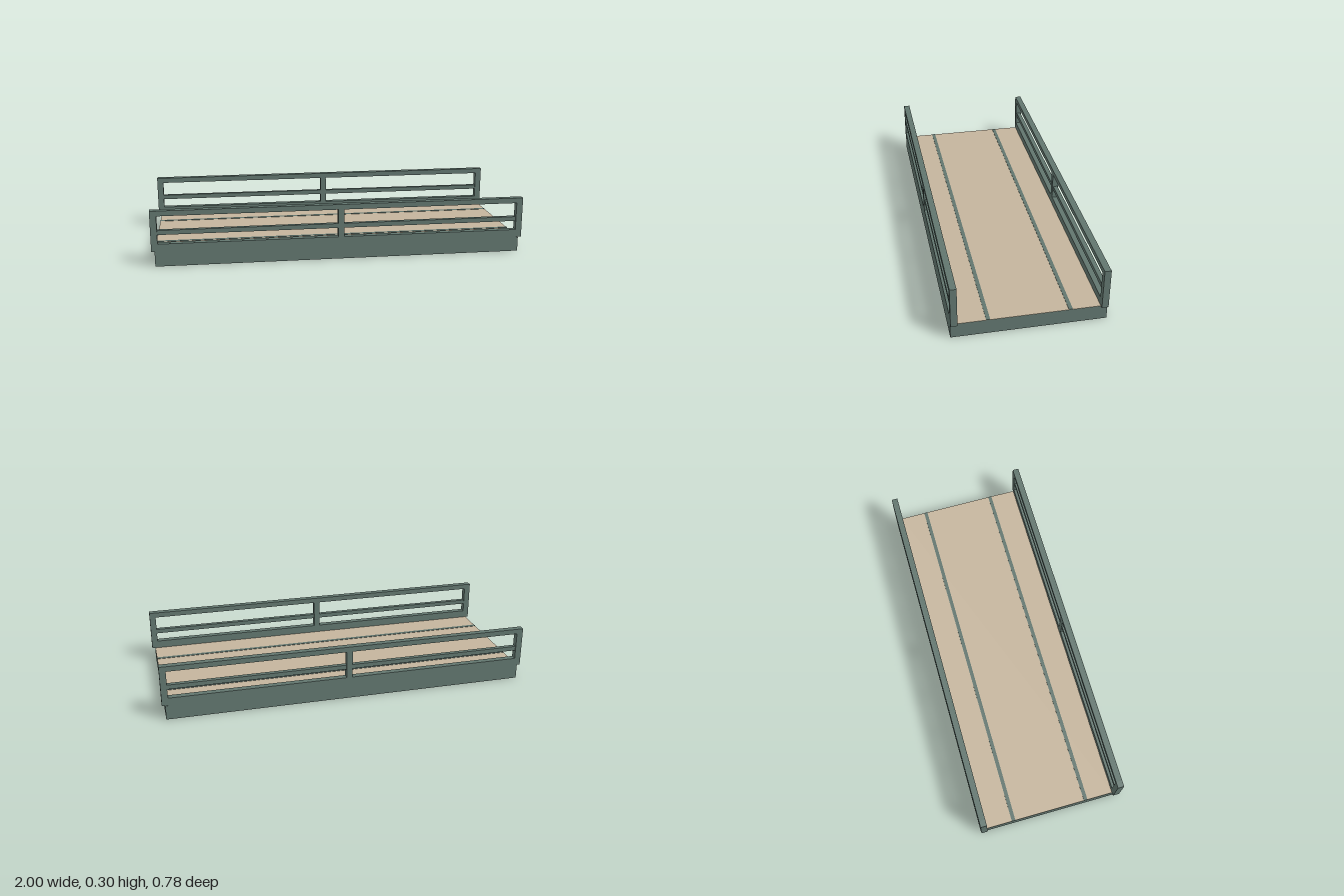
import * as THREE from 'three';

export function createModel() {
  const steel = new THREE.MeshStandardMaterial({ color: 0x61756e });
  steel.name = 'grey green steel';
  const board = new THREE.MeshStandardMaterial({ color: 0xc4b49c });
  board.name = 'tan decking';

  const model = new THREE.Group();
  model.name = 'flatDeck';

  // Box given by its lower and upper limits on each axis
  function box(parent, name, mat, [x0, x1], [y0, y1], [z0, z1]) {
    const mesh = new THREE.Mesh(new THREE.BoxGeometry(x1 - x0, y1 - y0, z1 - z0), mat);
    mesh.position.set((x0 + x1) / 2, (y0 + y1) / 2, (z0 + z1) / 2);
    mesh.name = name;
    parent.add(mesh);
  }

  const length = [-0.983, 0.983];
  const deckY = 0.08;

  // Solid base with a thin deck surface
  box(model, 'base', steel, length, [0, deckY - 0.001], [-0.392, 0.392]);
  box(model, 'deckSurface', board, length, [deckY - 0.001, deckY], [-0.358, 0.358]);

  for (const side of [-1, 1]) {
    // Raised strip along the deck
    const stripZ = side * 0.206;
    box(model, 'deckStrip', steel, length, [deckY, deckY + 0.002], [stripZ - 0.01, stripZ + 0.01]);

    // Side railing: kerb, posts and two rails
    const railing = new THREE.Group();
    railing.name = side > 0 ? 'frontRailing' : 'backRailing';
    railing.position.z = side * 0.375;
    model.add(railing);
    const depth = [-0.017, 0.017];
    box(railing, 'kerb', steel, [-0.966, 0.966], [deckY - 0.001, 0.122], depth);
    box(railing, 'topRail', steel, [-0.966, 0.966], [0.272, 0.3], depth);
    box(railing, 'middleRail', steel, [-0.966, 0.966], [0.17, 0.194], [-0.012, 0.012]);
    box(railing, 'middlePost', steel, [-0.016, 0.016], [0.122, 0.272], depth);
    box(railing, 'rightPost', steel, [-1, -0.966], [deckY, 0.3], depth);
    box(railing, 'leftPost', steel, [0.966, 1], [deckY, 0.3], depth);
  }
  return model;
}
